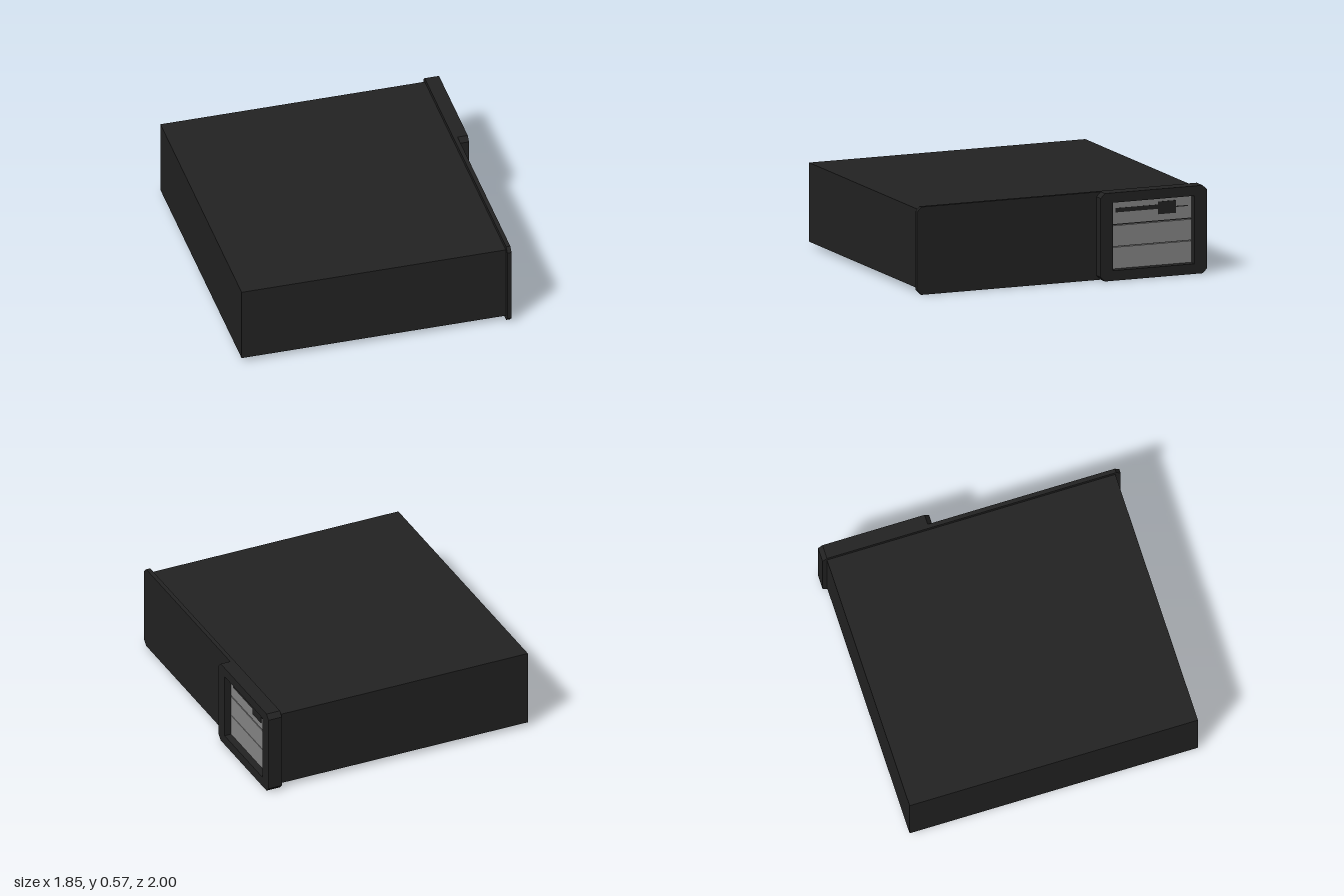
import * as THREE from 'three';

const dark = new THREE.MeshStandardMaterial({ name: 'charcoal casing', color: 0x222222 });
const grey = new THREE.MeshStandardMaterial({ name: 'grey drive fronts', color: 0x858585 });

// Box given by its minimum and maximum corners
function box(name, material, min, max) {
  const size = max.map((v, i) => v - min[i]);
  const mesh = new THREE.Mesh(new THREE.BoxGeometry(...size), material);
  mesh.position.set(...max.map((v, i) => (v + min[i]) / 2));
  mesh.name = name;
  return mesh;
}

// Plate with cut corners lying in the side plane: u runs towards the back (-z), v up
function plate(name, u0, u1, height, x0, x1, hole) {
  const c = 0.03;
  const shape = new THREE.Shape([
    [u0 + c, 0], [u1 - c, 0], [u1, c], [u1, height - c],
    [u1 - c, height], [u0 + c, height], [u0, height - c], [u0, c],
  ].map(p => new THREE.Vector2(...p)));
  if (hole) {
    const [a, b, lo, hi] = hole;
    shape.holes.push(new THREE.Path([[a, lo], [a, hi], [b, hi], [b, lo]].map(p => new THREE.Vector2(...p))));
  }
  const geometry = new THREE.ExtrudeGeometry(shape, { depth: x1 - x0, bevelEnabled: false });
  geometry.rotateY(Math.PI / 2);
  geometry.translate(x0, 0, 0);
  const mesh = new THREE.Mesh(geometry, dark);
  mesh.name = name;
  return mesh;
}

export function createModel() {
  const model = new THREE.Group();
  model.name = 'computerCase';

  // Main casing and the cover plate on its side
  model.add(box('casing', dark, [-0.925, 0.03, -0.97], [0.83, 0.545, 0.965]));
  model.add(plate('coverPlate', -1, 1, 0.573, 0.83, 0.858));

  // Raised bezel around the drive bays
  model.add(plate('driveBezel', 0.255, 1, 0.573, 0.858, 0.925, [0.342, 0.912, 0.066, 0.509]));

  // Three recessed drive fronts with dark gaps between them
  const drives = new THREE.Group();
  drives.name = 'driveFronts';
  for (const [y0, y1] of [[0.068, 0.208], [0.213, 0.349], [0.357, 0.507]]) {
    drives.add(box('driveFront', grey, [0.858, y0, -0.91], [0.88, y1, -0.344]));
  }
  model.add(drives);

  // Disk slot, finger recess and fine seam on the top drive
  const slot = new THREE.Group();
  slot.name = 'diskSlot';
  slot.add(box('slotOpening', dark, [0.879, 0.435, -0.72], [0.882, 0.463, -0.378]));
  slot.add(box('fingerRecess', dark, [0.879, 0.4, -0.8], [0.884, 0.482, -0.675]));
  slot.add(box('slotSeam', dark, [0.879, 0.437, -0.885], [0.881, 0.444, -0.8]));
  model.add(slot);

  return model;
}
